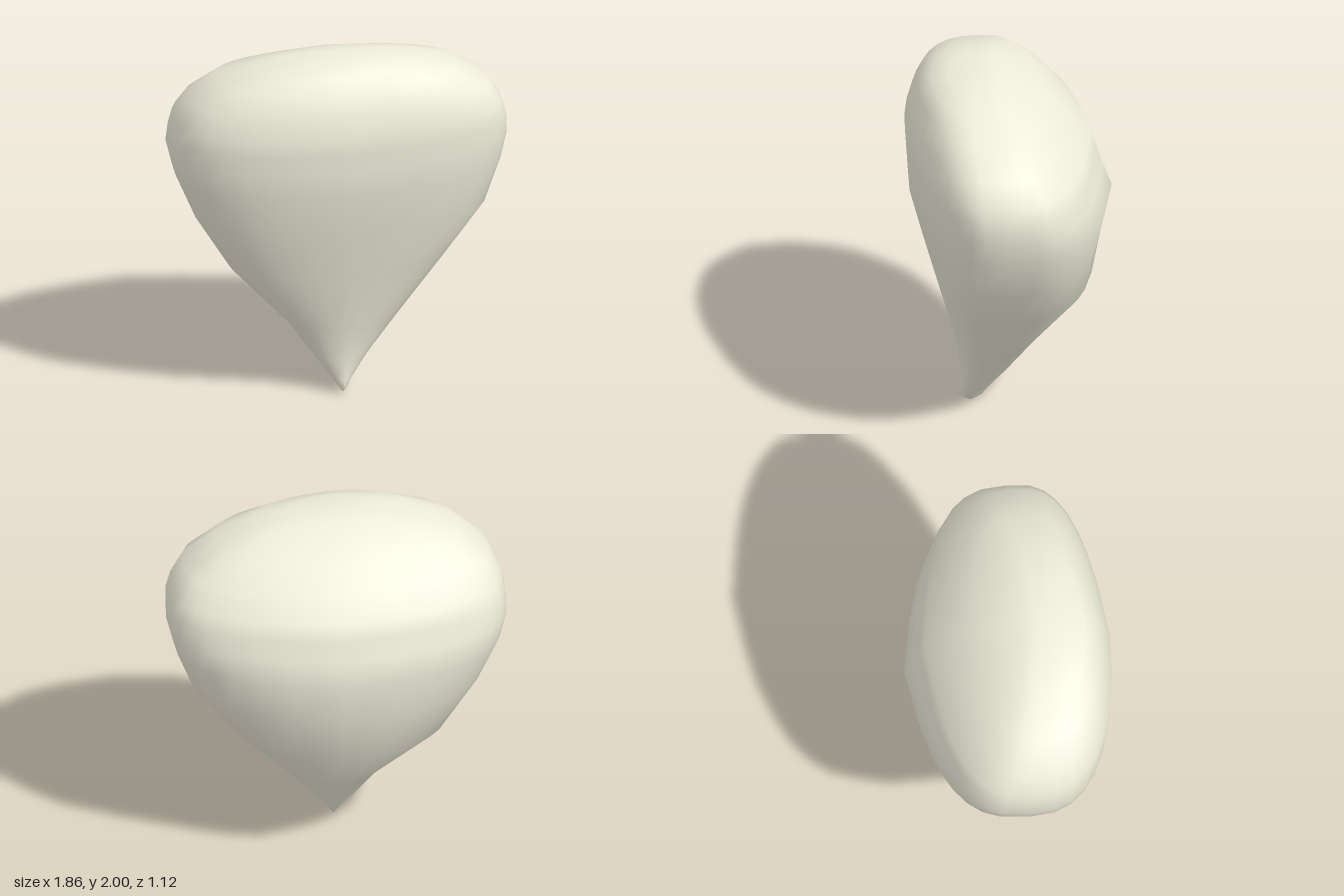
import * as THREE from 'three';
import { mergeVertices } from 'three/addons/utils/BufferGeometryUtils.js';

// Cross-sections from tip to crown: y, left edge (-x), right edge (+x), front z, back z, z of widest point
const SECTIONS = [
  [0.0, 0, 0, 0.21, 0.21, 0.21],
  [0.03, 0.02, 0.02, 0.27, 0.15, 0.21],
  [0.08, 0.055, 0.05, 0.265, 0.11, 0.2],
  [0.2, 0.14, 0.14, 0.265, 0.0, 0.17],
  [0.4, 0.28, 0.3, 0.295, -0.16, 0.15],
  [0.76, 0.61, 0.575, 0.395, -0.45, 0.12],
  [1.05, 0.79, 0.8, 0.475, -0.505, 0.09],
  [1.3, 0.895, 0.893, 0.54, -0.56, 0.06],
  [1.44, 0.93, 0.927, 0.55, -0.51, 0.05],
  [1.55, 0.92, 0.927, 0.557, -0.475, 0.06],
  [1.64, 0.9, 0.9, 0.56, -0.445, 0.07],
  [1.76, 0.835, 0.83, 0.53, -0.32, 0.09],
  [1.88, 0.68, 0.64, 0.49, -0.2, 0.12],
  [1.95, 0.45, 0.43, 0.42, -0.04, 0.15],
  [1.985, 0.27, 0.25, 0.33, 0.05, 0.16],
  [2.0, 0, 0, 0.16, 0.16, 0.16],
];
const SIDES = 32;

// Signed power used for the superellipse outlines
const bend = (v, n) => Math.sign(v) * Math.pow(Math.abs(v), 2 / n);

// Fullness n and ridge slope k of a quarter outline
function quarterShape(y, isFront, isRight) {
  if (y < 0.5) return [2, 0.15];
  if (isFront && !isRight) return [2.5, 0];
  return isFront ? [3, 0.24] : [3, 0.215];
}

function loftBody() {
  const positions = [], index = [];
  for (const [y, left, right, front, back, mid] of SECTIONS) {
    for (let j = 0; j < SIDES; j++) {
      const a = (j / SIDES) * Math.PI * 2;
      const c = Math.cos(a), s = Math.sin(a);
      const [n, k] = quarterShape(y, s > 0, c > 0);
      const u = bend(c, n);
      const depth = s > 0 ? front - mid : mid - back;
      // depth falls off from a soft central ridge
      const z = mid + bend(s, n) * depth * (1 - k * Math.abs(u));
      positions.push(u * (c > 0 ? right : left), y, z);
    }
  }
  const last = SECTIONS.length - 2;
  for (let i = 0; i <= last; i++) {
    for (let j = 0; j < SIDES; j++) {
      const a = i * SIDES + j, b = i * SIDES + (j + 1) % SIDES;
      const c = a + SIDES, d = b + SIDES;
      if (i > 0) index.push(a, c, b);
      if (i < last) index.push(b, c, d);
    }
  }
  const geometry = new THREE.BufferGeometry();
  geometry.setAttribute('position', new THREE.Float32BufferAttribute(positions, 3));
  geometry.setIndex(index);
  // weld the collapsed end rings so both poles shade smoothly
  const welded = mergeVertices(geometry, 1e-5);
  welded.computeVertexNormals();
  return welded;
}

export function createModel() {
  const group = new THREE.Group();
  group.name = 'teardropModel';
  const body = new THREE.Mesh(loftBody(), new THREE.MeshStandardMaterial({ color: 0xeeeddb }));
  body.name = 'teardropBody';
  group.add(body);
  return group;
}
